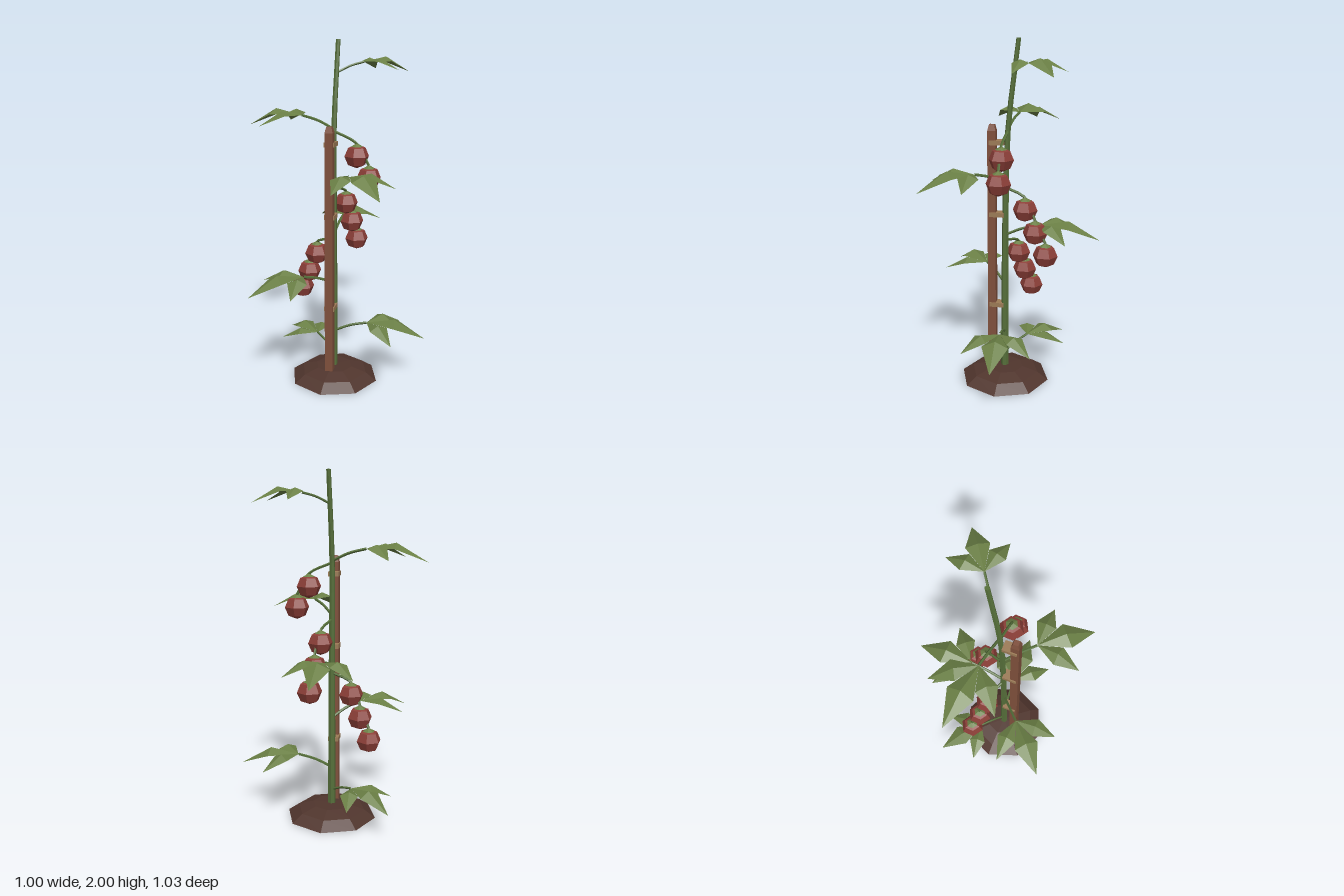
import * as THREE from 'three';

const mat = (name, color, side = THREE.FrontSide) =>
  new THREE.MeshStandardMaterial({ name, color, side, flatShading: true });

// Centre of the main stem at a given height
const stemCurve = new THREE.CatmullRomCurve3([
  [0.028, 0, -0.008], [0.027, 0.5, -0.008], [0.028, 1, -0.01],
  [0.036, 1.5, -0.02], [0.09, 2, -0.045],
].map((p) => new THREE.Vector3(...p)));
const stemAt = (y) => stemCurve.getPoint(y / 2);

export function createModel() {
  const model = new THREE.Group();
  const soil = mat('soil brown', 0x50352d);
  const wood = mat('stake wood', 0x80503c);
  const twine = mat('twine tan', 0x9c7b56);
  const stemGreen = mat('stem green', 0x566f3a);
  const leafGreen = mat('leaf green', 0x6a7f45, THREE.DoubleSide);
  const red = mat('fruit red', 0x8c3f38);

  const add = (parent, name, geometry, material, x = 0, y = 0, z = 0, ry = 0) => {
    const m = new THREE.Mesh(geometry, material);
    m.name = name;
    m.position.set(x, y, z);
    m.rotation.y = ry;
    parent.add(m);
    return m;
  };
  const tube = (points, radius) =>
    new THREE.TubeGeometry(new THREE.CatmullRomCurve3(points), 10, radius, 5);

  // Soil mound
  const profile = [[0, 0], [0.265, 0], [0.2, 0.045], [0.11, 0.07], [0, 0.074]]
    .map((p) => new THREE.Vector2(...p));
  add(model, 'soilMound', new THREE.LatheGeometry(profile, 8, Math.PI / 6), soil, 0.03, 0, -0.007);

  // Wooden stake with a bevelled top, tied to the stem
  const turn = 0.58;
  add(model, 'stake', new THREE.BoxGeometry(0.047, 1.46, 0.047), wood, -0.04, 0.77, 0.028, turn);
  add(model, 'stakeTip', new THREE.CylinderGeometry(0.021, 0.0332, 0.035, 4), wood,
    -0.04, 1.5175, 0.028, turn + Math.PI / 4);
  for (const y of [0.465, 1.02, 1.435]) {
    add(model, 'tie', new THREE.BoxGeometry(0.084, 0.026, 0.06), twine, -0.016, y, 0.012, turn);
  }

  // Tapering stem, bent along its curve
  const stem = new THREE.CylinderGeometry(0.013, 0.024, 2, 6, 12).translate(0, 1, 0);
  const pos = stem.attributes.position;
  for (let i = 0; i < pos.count; i++) {
    const c = stemAt(pos.getY(i));
    pos.setX(i, pos.getX(i) + c.x);
    pos.setZ(i, pos.getZ(i) + c.z);
  }
  add(model, 'stem', stem, stemGreen);

  // One folded leaflet pointing along +x
  const leaflet = (length, width) => {
    const base = [0, 0, 0], mid = [length * 0.48, length * 0.1, 0], tip = [length, -length * 0.2, 0];
    const left = [length * 0.5, length * 0.01, width], right = [length * 0.5, length * 0.01, -width];
    const g = new THREE.BufferGeometry();
    g.setAttribute('position', new THREE.Float32BufferAttribute([
      base, left, mid, base, mid, right, mid, left, tip, mid, tip, right].flat(), 3));
    g.computeVertexNormals();
    return g;
  };

  // Leaves: attachment height, heading from +x towards +z in degrees, scale
  const leaves = [
    [1.82, 22, 0.82], [1.51, 246, 1], [1.205, 107, 1], [0.9, -31, 1],
    [0.6, 194, 1], [0.295, 55, 1], [0.155, -83, 0.88],
  ];
  for (const [y, heading, size] of leaves) {
    const leaf = new THREE.Group();
    leaf.name = 'leaf';
    leaf.position.copy(stemAt(y));
    leaf.rotation.y = -THREE.MathUtils.degToRad(heading);
    leaf.scale.setScalar(size);
    const path = [[0, 0, 0], [0.1, 0.045, 0], [0.2, 0.07, 0]].map((p) => new THREE.Vector3(...p));
    add(leaf, 'leafStalk', tube(path, 0.008), stemGreen);
    add(leaf, 'middleLeaflet', leaflet(0.345, 0.074), leafGreen, 0.2, 0.07, 0);
    for (const s of [-1, 1]) {
      add(leaf, 'sideLeaflet', leaflet(0.26, 0.058), leafGreen, 0.2, 0.07, 0, s * 0.84);
    }
    model.add(leaf);
  }

  // Fruit trusses: attachment height and fruit centres
  const trusses = [
    [1.5, [[0.1, 1.365, 0.1], [0.137, 1.245, 0.16]]],
    [1.18, [[0.152, 1.065, -0.04], [0.215, 0.94, -0.055], [0.275, 0.815, -0.075]]],
    [0.87, [[0.01, 0.76, -0.143], [0.005, 0.635, -0.205], [0.003, 0.515, -0.27]]],
  ];
  for (const [y, fruits] of trusses) {
    const truss = new THREE.Group();
    truss.name = 'fruitTruss';
    const tops = fruits.map(([fx, fy, fz]) => new THREE.Vector3(fx, fy + 0.07, fz));
    add(truss, 'trussStalk', tube([stemAt(y), ...tops], 0.008), stemGreen);
    for (const [fx, fy, fz] of fruits) {
      const ball = new THREE.SphereGeometry(0.071, 6, 4).scale(1, 0.96, 1);
      add(truss, 'fruit', ball, red, fx, fy, fz, Math.PI / 6);
      add(truss, 'calyx', new THREE.ConeGeometry(0.046, 0.026, 6), leafGreen, fx, fy + 0.061, fz);
    }
    model.add(truss);
  }
  return model;
}
